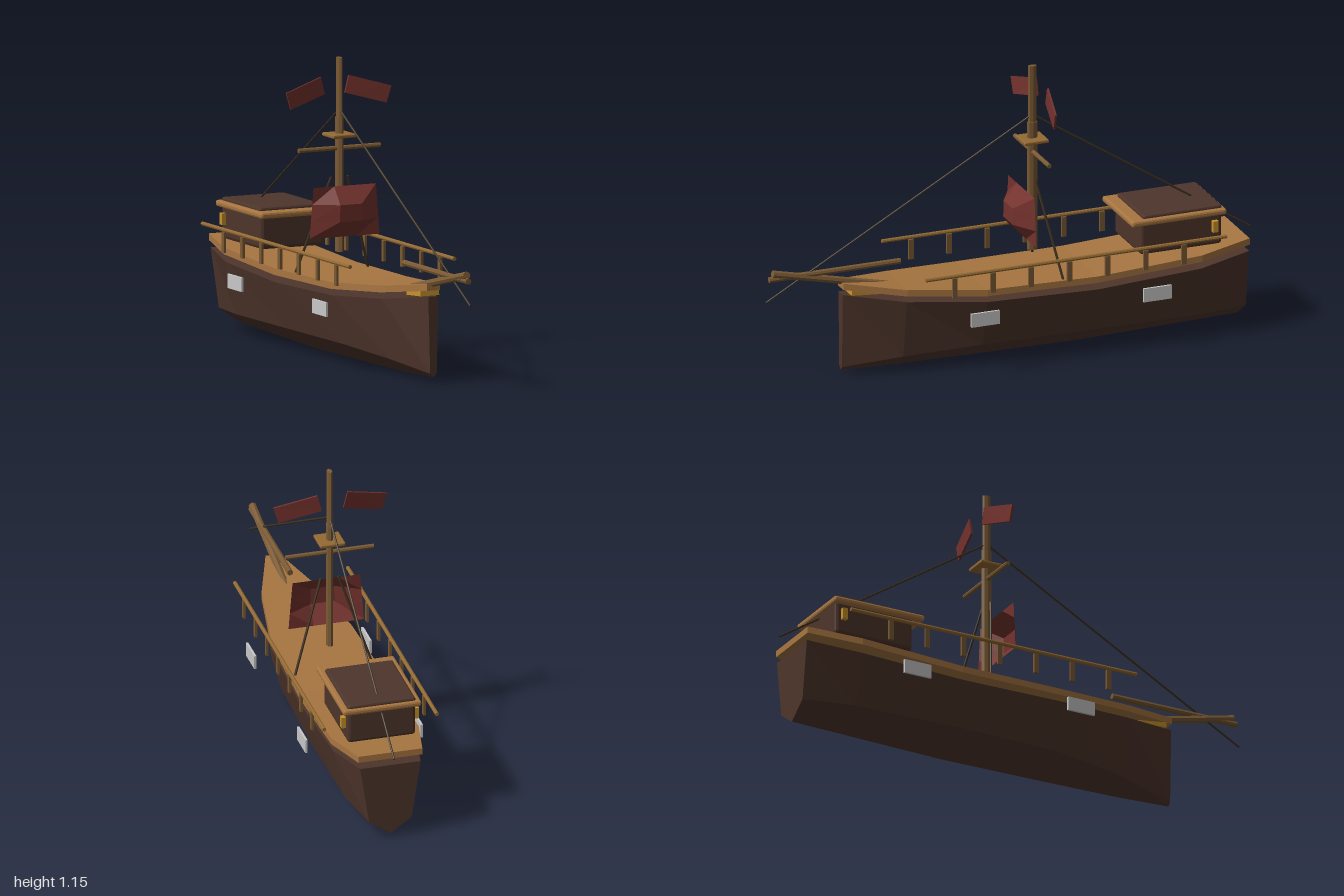
import * as THREE from 'three';
import { RoundedBoxGeometry } from 'three/addons/geometries/RoundedBoxGeometry.js';

const mat = (name, color, extra = {}) => Object.assign(new THREE.MeshStandardMaterial({ color, flatShading: true, ...extra }), { name });

// Closed solid through equal-length outlines, each counterclockwise seen from +z, ordered stern to bow
function loft(sections) {
  const pos = [];
  const n = sections[0].length;
  const tri = (a, b, c) => pos.push(...a, ...b, ...c);
  for (let i = 0; i < sections.length - 1; i++) {
    for (let j = 0; j < n; j++) {
      const k = (j + 1) % n, s = sections[i], t = sections[i + 1];
      tri(s[j], s[k], t[k]);
      tri(s[j], t[k], t[j]);
    }
  }
  const stern = sections[0], bow = sections[sections.length - 1];
  for (let j = 1; j < n - 1; j++) {
    tri(stern[0], stern[j + 1], stern[j]);
    tri(bow[0], bow[j], bow[j + 1]);
  }
  const g = new THREE.BufferGeometry();
  g.setAttribute('position', new THREE.Float32BufferAttribute(pos, 3));
  g.computeVertexNormals();
  return g;
}

export function createModel() {
  const model = new THREE.Group();
  model.name = 'sailingBoat';
  const hullWood = mat('dark hull wood', 0x4e352b);
  const deckWood = mat('deck wood', 0xa87641);
  const mastWood = mat('mast wood', 0x7a5a34);
  const railWood = mat('rail wood', 0x946a33);
  const gold = mat('gold', 0xc8922c);
  const sailCloth = mat('red sail cloth', 0x74322d, { side: THREE.DoubleSide });
  const rope = mat('rope', 0x40321f);
  const silver = mat('silver', 0xc8c8c8);

  const add = (name, geo, m, x = 0, y = 0, z = 0) => {
    const mesh = new THREE.Mesh(geo, m);
    mesh.name = name;
    mesh.position.set(x, y, z);
    model.add(mesh);
    return mesh;
  };
  const box = (name, m, w, h, d, x, y, z) => add(name, new THREE.BoxGeometry(w, h, d), m, x, y, z);
  const rod = (name, m, from, to, r, sides = 8) => {
    const a = new THREE.Vector3(...from), b = new THREE.Vector3(...to);
    const mesh = add(name, new THREE.CylinderGeometry(r, r, a.distanceTo(b), sides), m);
    mesh.position.copy(a).lerp(b, 0.5);
    mesh.quaternion.setFromUnitVectors(new THREE.Vector3(0, 1, 0), b.sub(a).normalize());
    return mesh;
  };

  // Hull: z, top half width, top y, chine half width, chine y, keel y
  const hull = [
    [-0.945, 0.12, 0.31, 0.085, 0.075, 0.015],
    [-0.73, 0.165, 0.285, 0.12, 0.08, 0.01],
    [-0.3, 0.172, 0.265, 0.126, 0.085, 0],
    [0.15, 0.16, 0.275, 0.115, 0.085, 0.005],
    [0.46, 0.105, 0.3, 0.07, 0.065, 0.01],
    [0.69, 0.022, 0.333, 0.014, 0.035, 0.02],
  ].map(([z, tw, ty, cw, cy, ky]) => [[-tw, ty, z], [-cw, cy, z], [0, ky, z], [cw, cy, z], [tw, ty, z]]);
  add('hull', loft(hull), hullWood);

  // Deck following the sheer: z, half width, top y
  const deck = [
    [-0.945, 0.127, 0.364], [-0.73, 0.174, 0.342], [-0.3, 0.177, 0.32],
    [0.15, 0.163, 0.326], [0.46, 0.11, 0.351], [0.69, 0.028, 0.382],
  ].map(([z, w, y]) => [[-w, y, z], [-w, y - 0.026, z], [w, y - 0.026, z], [w, y, z]]);
  add('deck', loft(deck), deckWood);
  box('bowFitting', gold, 0.08, 0.022, 0.12, 0, 0.338, 0.6).rotation.x = -0.08;

  // Bowsprit and its horizontal spar
  rod('bowsprit', mastWood, [0, 0.452, 0.97], [0, 0.335, 0.47], 0.015);
  rod('jibSpar', mastWood, [0, 0.43, 0.985], [0, 0.43, 0.445], 0.012);

  // Cabin with overhanging roof
  add('cabinWalls', new RoundedBoxGeometry(0.27, 0.14, 0.335, 1, 0.012), hullWood, 0, 0.432, -0.66);
  add('roofTrim', new RoundedBoxGeometry(0.31, 0.024, 0.39, 1, 0.008), deckWood, 0, 0.498, -0.645);
  add('cabinRoof', new RoundedBoxGeometry(0.27, 0.03, 0.325, 1, 0.008), hullWood, 0, 0.507, -0.665);

  // Paired side parts
  for (const s of [1, -1]) {
    const side = s > 0 ? 'left' : 'right';
    rod(side + 'Rail', railWood, [s * 0.224, 0.427, 0.43], [s * 0.224, 0.427, -0.81], 0.008);
    for (let i = 0; i < 7; i++) box(side + 'RailPost', mastWood, 0.01, 0.08, 0.02, s * 0.222, 0.378, 0.31 - i * 0.1575);
    for (const z of [0.187, -0.523]) box(side + 'HullPlate', silver, 0.009, 0.055, 0.116, s * 0.229, 0.237, z);
    box(side + 'Lantern', gold, 0.018, 0.045, 0.022, s * 0.145, 0.442, -0.795);
    rod(side + 'Shroud', rope, [s * 0.035, 0.69, -0.1], [s * 0.157, 0.315, -0.165], 0.005, 6);

    // Tilted upper sail plate
    const corners = [[0.043, 1.005, -0.14], [0.205, 0.96, -0.108], [0.225, 1.025, -0.106], [0.06, 1.072, -0.14]];
    const face = (dz) => corners.map(([x, y, z]) => [s * x, y, z + dz]);
    const order = s > 0 ? [face(-0.004), face(0.004)] : [face(-0.004).reverse(), face(0.004).reverse()];
    add(side + 'UpperSail', loft(order), sailCloth);
  }

  // Mast, yard and crosstree
  rod('lowerMast', mastWood, [0, 0.4, -0.1], [0, 0.92, -0.1], 0.021).scale.x = 0.68;
  rod('upperMast', mastWood, [0, 0.88, -0.1], [0, 1.15, -0.1], 0.018).scale.x = 0.58;
  rod('yard', mastWood, [-0.175, 0.8, -0.1], [0.175, 0.8, -0.1], 0.009);
  add('crosstree', new RoundedBoxGeometry(0.1, 0.014, 0.1, 1, 0.004), railWood, 0, 0.85, -0.1);

  // Main sail bellied forward: border stays back, inner points move out
  const sail = new THREE.PlaneGeometry(2, 2, 3, 3);
  const p = sail.attributes.position;
  for (let i = 0; i < p.count; i++) {
    const u = p.getX(i), v = p.getY(i);
    const inner = Math.abs(u) < 0.9 && Math.abs(v) < 0.9;
    p.setXYZ(i, u * (0.142 - 0.008 * v), 0.562 + v * 0.098, inner ? 0 : -0.055);
  }
  sail.computeVertexNormals();
  add('mainSail', sail, sailCloth);

  // Fore and aft stays
  rod('forestay', rope, [0, 0.95, -0.1], [0, 0.338, 0.998], 0.004, 6);
  rod('backstay', rope, [0, 0.95, -0.1], [0, 0.362, -0.998], 0.004, 6);

  return model;
}
